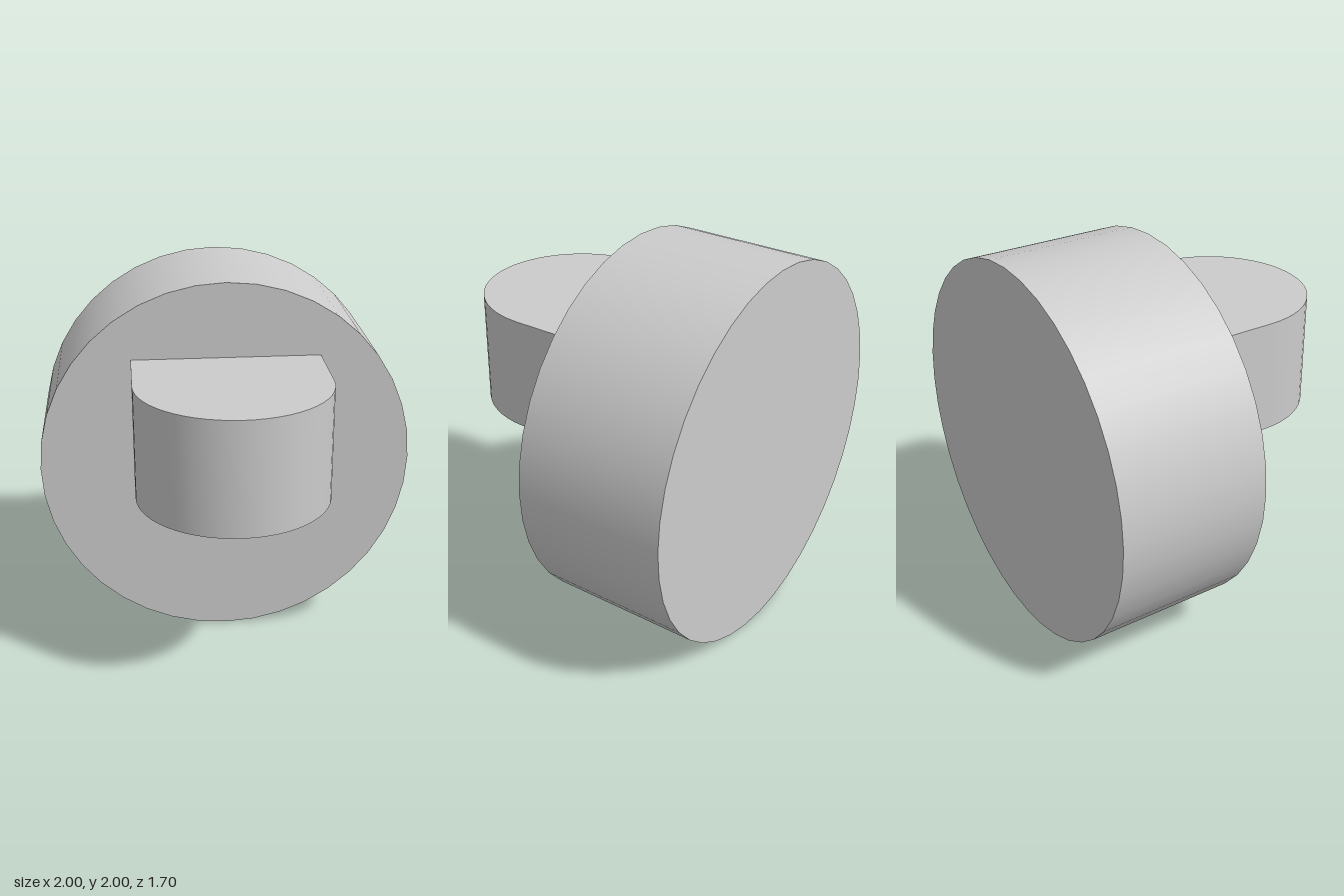
import * as THREE from 'three';
import { toCreasedNormals } from 'three/addons/utils/BufferGeometryUtils.js';

export function createModel() {
  const model = new THREE.Group();
  model.name = 'model';
  const material = new THREE.MeshStandardMaterial({ color: 0xcccccc });

  // Thick round disc standing on its rim, axis along z
  const discGeometry = new THREE.CylinderGeometry(1, 1, 0.8, 40);
  discGeometry.rotateX(Math.PI / 2);
  const disc = new THREE.Mesh(discGeometry, material);
  disc.name = 'disc';
  disc.position.set(0, 1, -0.45);
  model.add(disc);

  // Round-ended tab projecting from the disc's front face (outline in x, z)
  const outline = new THREE.Shape();
  outline.moveTo(-0.5, -0.05);
  outline.lineTo(0.5, -0.05);
  outline.absarc(0, 0.35, 0.5, 0, Math.PI, false);
  outline.closePath();
  const tabGeometry = new THREE.ExtrudeGeometry(outline, {
    depth: 0.6, bevelEnabled: false, curveSegments: 14,
  });
  tabGeometry.rotateX(Math.PI / 2);
  const tab = new THREE.Mesh(toCreasedNormals(tabGeometry, 0.5), material);
  tab.name = 'tab';
  tab.position.y = 1.6;
  model.add(tab);

  return model;
}
